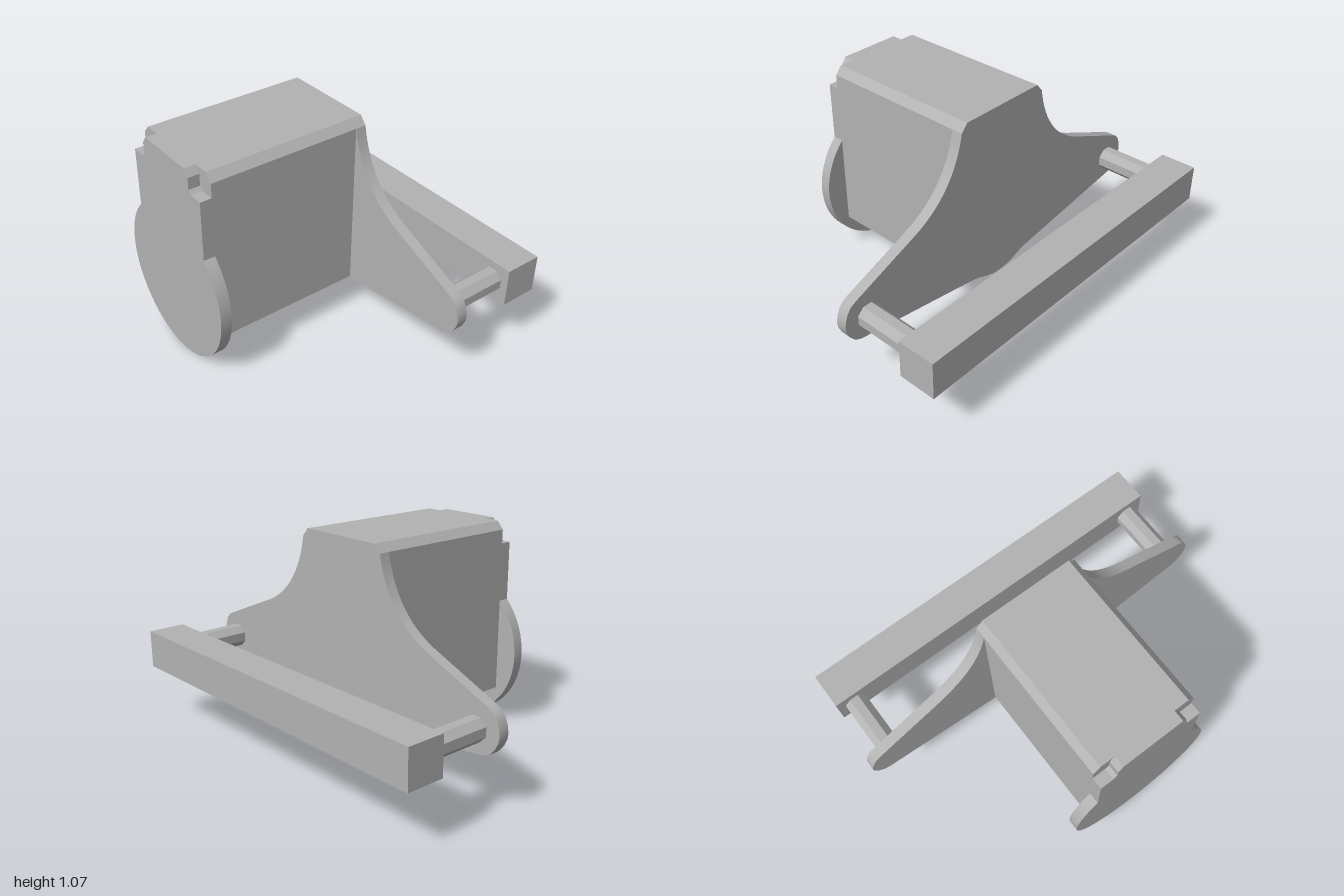
import * as THREE from 'three';
import { toCreasedNormals } from 'three/addons/utils/BufferGeometryUtils.js';

// Extrudes a half outline of [z, y] points, mirrored across z = 0, from x0 to x1
function mirroredPlate(half, x0, x1) {
  const other = half.filter(([z]) => z > 0).reverse().map(([z, y]) => [-z, y]);
  const shape = new THREE.Shape([...half, ...other].map(([z, y]) => new THREE.Vector2(z, y)));
  const geometry = new THREE.ExtrudeGeometry(shape, { depth: x1 - x0, bevelEnabled: false });
  geometry.rotateY(-Math.PI / 2).translate(x1, 0, 0);
  return toCreasedNormals(geometry, 0.5);
}

export function createModel() {
  const group = new THREE.Group();
  const grey = new THREE.MeshStandardMaterial({ color: 0xb2b2b2 });
  grey.name = 'grey';
  const add = (name, geometry, x = 0, y = 0, z = 0) => {
    const mesh = new THREE.Mesh(geometry, grey);
    mesh.name = name;
    mesh.position.set(x, y, z);
    group.add(mesh);
    return mesh;
  };

  // Main block with chamfered top edges
  add('body', mirroredPlate([[0.275, 0.19], [0.275, 1.03], [0.24, 1.07]], -0.63, 0.145));

  // Wide flared plate with rounded ends
  const flare = [[0, 0.12], [0.05, 0.124], [0.1, 0.138], [0.15, 0.158], [0.2, 0.17],
    [0.92, 0.28], [0.95, 0.293], [0.978, 0.325], [0.995, 0.36], [1, 0.39], [0.994, 0.425],
    [0.98, 0.46], [0.96, 0.484], [0.93, 0.5]];
  const sweep = new THREE.CubicBezierCurve(
    new THREE.Vector2(0.6, 0.637), new THREE.Vector2(0.42, 0.705),
    new THREE.Vector2(0.31, 0.84), new THREE.Vector2(0.275, 1.03));
  for (const p of sweep.getPoints(16)) flare.push([p.x, p.y]);
  flare.push([0.24, 1.07]);
  add('flaredPlate', mirroredPlate(flare, 0.145, 0.2));

  // End plate: round below, straight sides, notched top corners
  const round = [];
  const r = 0.388, start = -Math.PI / 2, end = Math.acos(0.275 / r);
  for (let i = 0; i <= 28; i++) {
    const a = start + (end - start) * i / 28;
    round.push([i ? r * Math.cos(a) : 0, r + r * Math.sin(a)]);
  }
  round.push([0.275, 0.96], [0.205, 0.96], [0.187, 0.977], [0.187, 1.035], [0.162, 1.07]);
  add('roundEndPlate', mirroredPlate(round, -0.687, -0.63));

  // Two octagonal rods carrying the crossbar
  for (const side of [1, -1]) {
    const rod = new THREE.CylinderGeometry(0.06, 0.06, 0.3, 8).rotateY(Math.PI / 8).rotateZ(Math.PI / 2);
    add(side > 0 ? 'frontRod' : 'backRod', toCreasedNormals(rod, 0.5), 0.348, 0.388, side * 0.872);
  }
  add('crossbar', new THREE.BoxGeometry(0.191, 0.192, 1.934), 0.59, 0.387, 0);

  return group;
}
